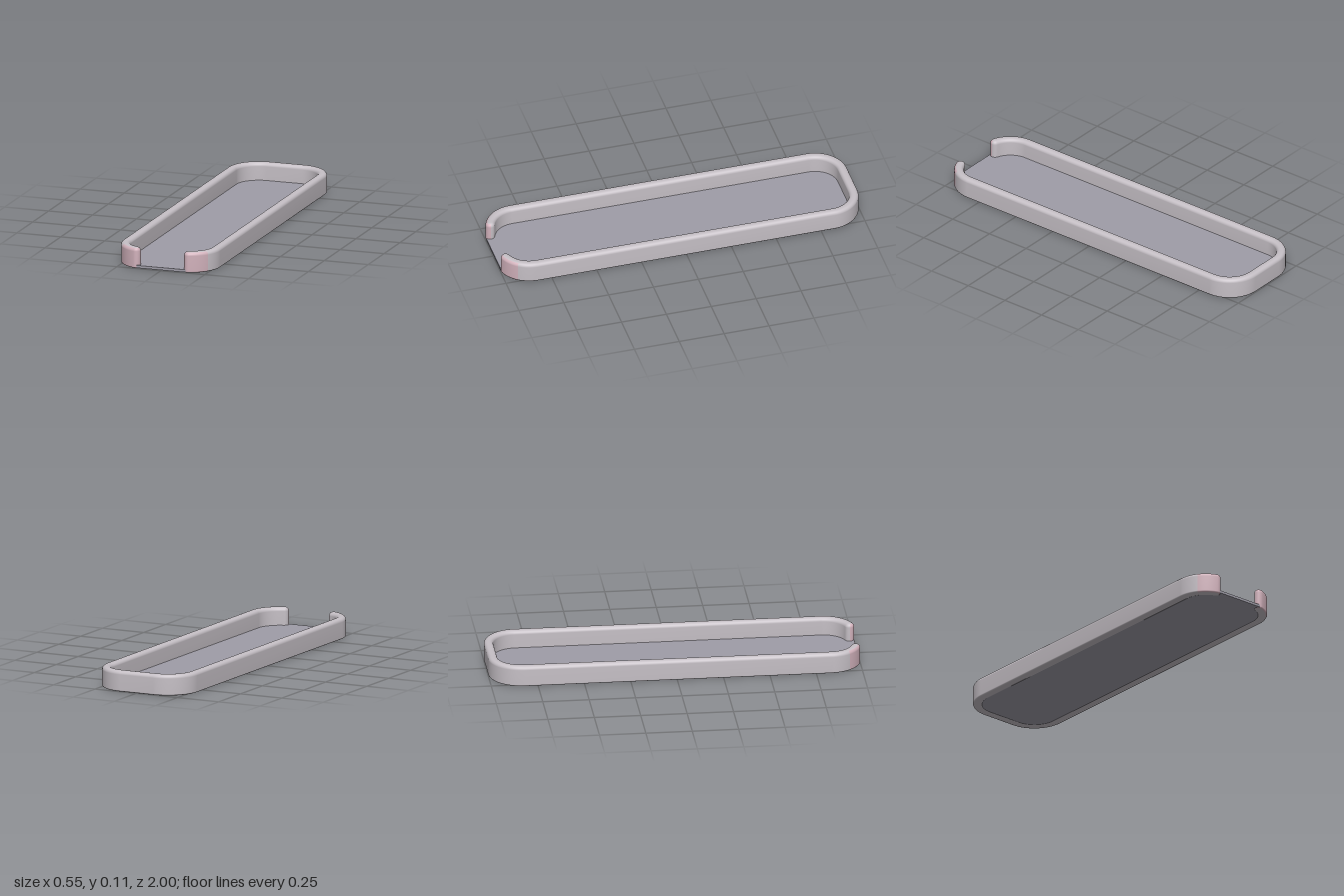
import * as THREE from 'three';

const wallGrey = new THREE.MeshStandardMaterial({ color: 0xc6c0c6 });
wallGrey.name = 'wallGrey';
const floorGrey = new THREE.MeshStandardMaterial({ color: 0x9f9da8 });
floorGrey.name = 'floorGrey';
const frontPink = new THREE.MeshStandardMaterial({ color: 0xd2b2bc });
frontPink.name = 'frontPink';

const CX = 0.1, FRONT = 0.83, BACK = -0.823, MID = 0.152; // wall corner centres and centreline radius

// Wall centreline from the left front tip, around the back, to the right front tip
function wallPath() {
  const start = Math.asin(0.05 / MID), path = [];
  const arc = (cx, cz, from, to) => {
    const steps = 16;
    for (let i = 0; i <= steps; i++) {
      const a = from + (to - from) * i / steps;
      path.push({ x: cx + MID * Math.sin(a), z: cz + MID * Math.cos(a), a });
    }
  };
  arc(CX, FRONT, start, Math.PI / 2);
  arc(CX, BACK, Math.PI / 2, Math.PI);
  arc(-CX, BACK, Math.PI, Math.PI * 1.5);
  arc(-CX, FRONT, Math.PI * 1.5, Math.PI * 2 - start);
  return path;
}

// Closed loop around the wall: outside, round tip, inside, round tip
function wallLoop() {
  const path = wallPath(), loop = [...path];
  const tip = (p, from) => {
    for (let i = 1; i < 12; i++) loop.push({ x: p.x, z: p.z, a: from + Math.PI * i / 12 });
  };
  tip(path[path.length - 1], path[path.length - 1].a);
  for (const p of [...path].reverse()) loop.push({ x: p.x, z: p.z, a: p.a + Math.PI });
  tip(path[0], path[0].a + Math.PI);
  return loop;
}

function wallGeometry() {
  // Half-width and height of the wall section, with rounded edges
  const profile = [[0, 0], [0.017, 0], [0.0225, 0.0025], [0.025, 0.008], [0.025, 0.093]];
  for (let i = 1; i <= 6; i++) {
    const t = i / 6 * Math.PI / 2;
    profile.push([0.005 + 0.02 * Math.cos(t), 0.093 + 0.02 * Math.sin(t)]);
  }
  profile.push([0, 0.113]);

  const loop = wallLoop(), n = loop.length, positions = [], grey = [], pink = [];
  for (const [w, y] of profile) {
    for (const p of loop) positions.push(p.x + w * Math.sin(p.a), y, p.z + w * Math.cos(p.a));
  }
  // Outward faces of the two front corners are pink
  const isPink = (p, q, row) => {
    if (row < 1 || row > 7 || p.z < 0.8 || q.z < 0.8) return false;
    const s = Math.sin(p.a) + Math.sin(q.a), c = (Math.cos(p.a) + Math.cos(q.a)) / 2;
    return c > (s * p.x < 0 ? 0.05 : 0.57);
  };
  for (let r = 0; r < profile.length - 1; r++) {
    for (let i = 0; i < n; i++) {
      const j = (i + 1) % n, a = r * n + i, b = r * n + j;
      (isPink(loop[i], loop[j], r) ? pink : grey).push(a, b, b + n, a, b + n, a + n);
    }
  }
  const g = new THREE.BufferGeometry();
  g.setAttribute('position', new THREE.Float32BufferAttribute(positions, 3));
  g.setIndex([...grey, ...pink]);
  g.addGroup(0, grey.length, 0);
  g.addGroup(grey.length, pink.length, 1);
  g.computeVertexNormals();
  return g;
}

// Flat floor plate with a straight lip in the front opening
function floorGeometry() {
  const r = 0.157, s = new THREE.Shape();
  const lip = Math.acos(0.04 / r);
  // Shape y is -z
  s.moveTo(-0.14, -0.998);
  s.lineTo(0.14, -0.998);
  s.absarc(CX, -FRONT, r, -lip, 0, false);
  s.absarc(CX, -BACK, r, 0, Math.PI / 2, false);
  s.absarc(-CX, -BACK, r, Math.PI / 2, Math.PI, false);
  s.absarc(-CX, -FRONT, r, Math.PI, Math.PI + lip, false);
  s.closePath();
  const g = new THREE.ExtrudeGeometry(s, { depth: 0.014, bevelEnabled: false, curveSegments: 16 });
  g.rotateX(-Math.PI / 2);
  g.translate(0, 0.003, 0);
  return g;
}

export function createModel() {
  const model = new THREE.Group();
  model.name = 'tray';
  const wall = new THREE.Mesh(wallGeometry(), [wallGrey, frontPink]);
  wall.name = 'roundedWall';
  const floor = new THREE.Mesh(floorGeometry(), floorGrey);
  floor.name = 'floorPlate';
  model.add(wall, floor);
  return model;
}
